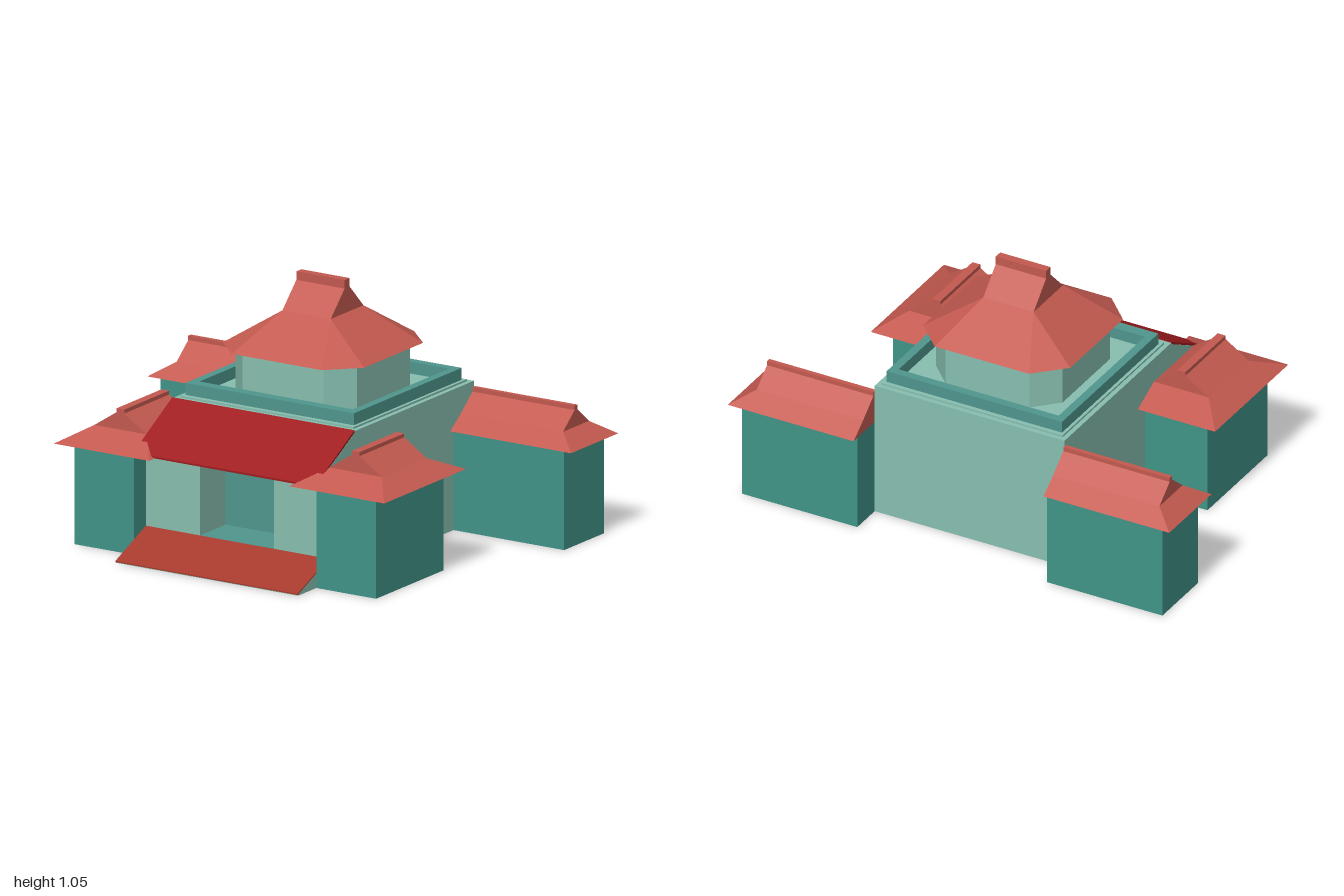
import * as THREE from 'three';

const mat = (color) => new THREE.MeshStandardMaterial({ color, flatShading: true, side: THREE.DoubleSide });
const ROOF = mat(0xc45a50), AWNING = mat(0xa01c1e), RAMP = mat(0xa63a2d);
const PALE = mat(0x88c0b1), TEAL = mat(0x409488), TRIM = mat(0x50978e);

// Closed solid through rings of points, counter-clockwise seen from the last ring
function loft(name, material, rings) {
  const pos = [];
  const tri = (a, b, c) => {
    const area = b.clone().sub(a).cross(c.clone().sub(a)).length();
    if (area > 1e-7) pos.push(...a, ...b, ...c);
  };
  const n = rings[0].length;
  for (let r = 0; r < rings.length - 1; r++) {
    for (let i = 0; i < n; i++) {
      const j = (i + 1) % n, lo = rings[r], hi = rings[r + 1];
      tri(lo[i], lo[j], hi[j]);
      tri(lo[i], hi[j], hi[i]);
    }
  }
  const first = rings[0], last = rings[rings.length - 1];
  for (let i = 1; i < n - 1; i++) {
    tri(last[0], last[i], last[i + 1]);
    tri(first[0], first[i + 1], first[i]);
  }
  const geo = new THREE.BufferGeometry();
  geo.setAttribute('position', new THREE.Float32BufferAttribute(pos, 3));
  geo.computeVertexNormals();
  const mesh = new THREE.Mesh(geo, material);
  mesh.name = name;
  return mesh;
}

const V = (x, y, z) => new THREE.Vector3(x, y, z);

// Level rectangle ring
const rect = (x0, x1, z0, z1, y) => [V(x1, y, z1), V(x1, y, z0), V(x0, y, z0), V(x0, y, z1)];

// Level rectangle ring with cut corners, cut may be zero
function octagon(hx, hz, cut, zc, y) {
  return [[hx, hz - cut], [hx, cut - hz], [hx - cut, -hz], [cut - hx, -hz],
    [-hx, cut - hz], [-hx, hz - cut], [cut - hx, hz], [hx - cut, hz]].map(([x, z]) => V(x, y, zc + z));
}

// Convex [z, y] profile pulled along x
const prism = (name, material, x0, x1, profile) =>
  loft(name, material, [x0, x1].map((x) => profile.map(([z, y]) => V(x, y, z))));

function box(name, material, x0, x1, y0, y1, z0, z1) {
  const mesh = new THREE.Mesh(new THREE.BoxGeometry(x1 - x0, y1 - y0, z1 - z0), material);
  mesh.position.set((x0 + x1) / 2, (y0 + y1) / 2, (z0 + z1) / 2);
  mesh.name = name;
  return mesh;
}

function sideWings(s) {
  const g = new THREE.Group();
  g.name = s > 0 ? 'leftWings' : 'rightWings';
  // mirrored x range
  const X = (a, b) => (s > 0 ? [a, b] : [-b, -a]);
  const R = (a, b, z0, z1, y) => rect(...X(a, b), z0, z1, y);

  // front wing, ridge running front to back
  g.add(box('frontWingWalls', TEAL, ...X(0.43, 0.712), 0, 0.412, 0.1, 0.585));
  g.add(loft('frontWingRoof', ROOF, [
    R(0.33, 0.78, 0.04, 0.63, 0.413),
    R(0.432, 0.678, 0.17, 0.493, 0.473),
    R(0.537, 0.573, 0.17, 0.493, 0.542),
  ]));
  g.add(box('frontWingRidge', ROOF, ...X(0.537, 0.573), 0.54, 0.558, 0.17, 0.493));

  // rear wing, ridge running sideways and ending at the hall
  g.add(box('rearWingWalls', TEAL, ...X(0.43, 0.952), 0, 0.412, -0.69, -0.403));
  g.add(loft('rearWingRoof', ROOF, [
    R(0.43, 1, -0.72, -0.38, 0.411),
    R(0.43, 0.912, -0.643, -0.457, 0.467),
    R(0.43, 0.912, -0.56, -0.54, 0.536),
  ]));
  g.add(box('rearWingRidge', ROOF, ...X(0.43, 0.912), 0.534, 0.554, -0.56, -0.54));

  // wall beside the entrance
  g.add(prism('entranceWall', PALE, ...X(0.175, 0.43),
    [[0.5, 0], [0.31, 0], [0.31, 0.572], [0.5, 0.464]]));
  return g;
}

export function createModel() {
  const model = new THREE.Group();
  model.name = 'palace';

  // main hall
  model.add(box('hall', PALE, -0.43, 0.43, 0, 0.578, -0.55, 0.31));
  model.add(box('hallTop', PALE, -0.41, 0.41, 0.57, 0.586, -0.53, 0.285));

  // entrance recess
  model.add(box('entranceFloor', TRIM, -0.175, 0.175, 0, 0.1, 0.31, 0.5));
  model.add(box('entranceBackWall', TRIM, -0.175, 0.175, 0.1, 0.56, 0.305, 0.315));
  model.add(prism('awning', AWNING, -0.43, 0.43,
    [[0.592, 0.414], [0.31, 0.572], [0.31, 0.582], [0.592, 0.422]]));

  // sloping ramp with pale sides
  model.add(prism('rampBase', PALE, -0.43, 0.43, [[0.718, 0], [0.5, 0], [0.5, 0.096], [0.718, 0.004]]));
  model.add(prism('rampSurface', RAMP, -0.43, 0.43,
    [[0.72, 0.003], [0.5, 0.096], [0.5, 0.1], [0.72, 0.008]]));

  for (const s of [-1, 1]) model.add(sideWings(s));

  // parapet around the hall top
  const outline = (hx, z0, z1) => [[-hx, -z1], [hx, -z1], [hx, -z0], [-hx, -z0]].map((p) => new THREE.Vector2(...p));
  const frame = new THREE.Shape(outline(0.397, -0.512, 0.265));
  frame.holes.push(new THREE.Path(outline(0.362, -0.476, 0.218)));
  const parapetGeo = new THREE.ExtrudeGeometry(frame, { depth: 0.057, bevelEnabled: false });
  const parapet = new THREE.Mesh(parapetGeo.rotateX(-Math.PI / 2), TRIM);
  parapet.position.y = 0.578;
  parapet.name = 'parapet';
  model.add(parapet);

  // upper tower with cut corners
  const zc = -0.119;
  model.add(loft('tower', PALE, [
    octagon(0.286, 0.287, 0.095, zc, 0.58),
    octagon(0.286, 0.287, 0.095, zc, 0.775),
  ]));
  model.add(loft('towerRoof', ROOF, [
    octagon(0.333, 0.333, 0.12, zc, 0.771),
    octagon(0.114, 0.118, 0, zc, 0.914),
    octagon(0.114, 0.018, 0, zc, 1.015),
  ]));
  model.add(box('towerRidge', ROOF, -0.114, 0.114, 1.01, 1.05, zc - 0.018, zc + 0.018));
  return model;
}
